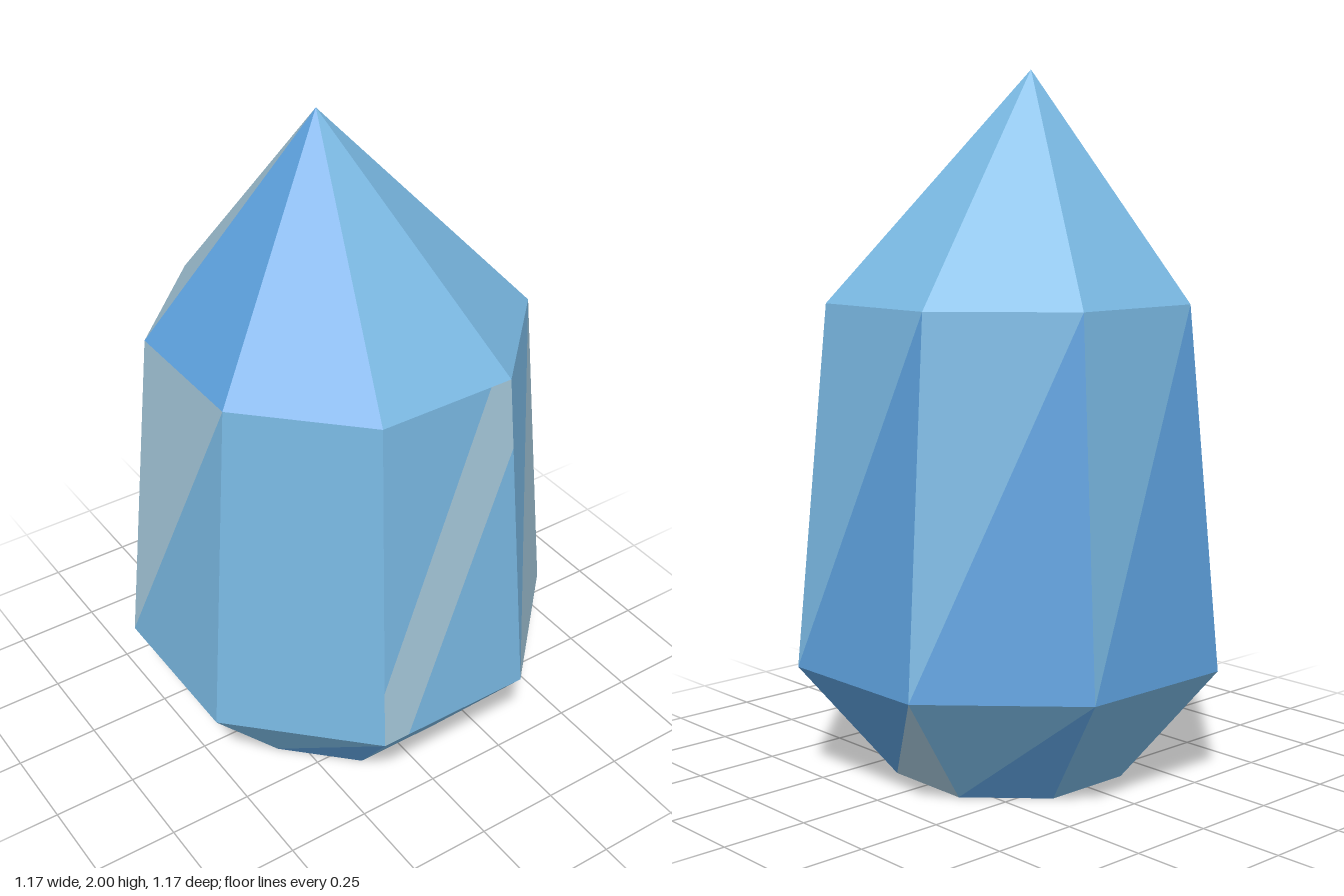
import * as THREE from 'three';

export function createModel() {
  const group = new THREE.Group();
  group.name = 'crystal';

  const colours = { A: ['skyBlue', 0x78b6e0], B: ['vividBlue', 0x5c9fdb], C: ['paleGlint', 0xa3c5d8] };
  const keys = Object.keys(colours);
  const materials = keys.map((k) => {
    const m = new THREE.MeshStandardMaterial({ color: colours[k][1] });
    m.name = colours[k][0];
    return m;
  });

  // Octagonal ring, counter-clockwise from above, starting at the front face
  const ring = (y, a, h) =>
    [[-h, a], [h, a], [a, h], [a, -h], [h, -a], [-h, -a], [-a, -h], [-a, h]]
      .map(([x, z]) => new THREE.Vector3(x, y, z));
  const foot = ring(0, 0.32, 0.135);
  const waist = ring(0.345, 0.585, 0.242);
  const shoulder = ring(1.36, 0.498, 0.205);
  const apex = new THREE.Vector3(-0.06, 2, -0.02);

  // Flat-faced mesh from [colour, corner, corner, corner...] convex facets
  function addFacets(name, facets) {
    const geometry = new THREE.BufferGeometry();
    const points = [];
    for (const [key, ...corners] of facets) {
      const start = points.length;
      for (let i = 1; i < corners.length - 1; i++) points.push(corners[0], corners[i], corners[i + 1]);
      geometry.addGroup(start, points.length - start, keys.indexOf(key));
    }
    geometry.setFromPoints(points);
    geometry.computeVertexNormals();
    const mesh = new THREE.Mesh(geometry, materials);
    mesh.name = name;
    group.add(mesh);
  }

  // Two triangles per side; each code gives the upper then the lower colour
  const band = (low, high, codes) => codes.flatMap((code, k) => {
    const n = (k + 1) % 8;
    return code === '' ? [] : [
      [code[0], low[k], high[n], high[k]],
      [code[1], low[k], low[n], high[n]],
    ];
  });

  // Tapered base
  addFacets('base', band(foot, waist, ['AA', 'CB', 'BC', 'AB', 'AA', 'CB', 'BC', 'AB']));
  addFacets('underside', [['B', ...[...foot].reverse()]]);

  // Main shaft, with a diagonal glint across the front facet
  const [bl, br, tl, tr] = [waist[0], waist[1], shoulder[0], shoulder[1]];
  const p = bl.clone().lerp(br, 0.17);
  const q = br.clone().lerp(tr, 0.79);
  const t = tl.clone().lerp(tr, 0.84);
  const l = bl.clone().lerp(tl, 0.18);
  addFacets('shaft', [
    ...band(waist, shoulder, ['', 'AC', 'AB', 'AB', 'AB', 'AC', 'CA', 'AA']),
    ['A', l, t, tl],
    ['A', p, br, q],
    ['C', bl, p, q, tr, t, l],
  ]);

  // Off-centre pointed tip
  addFacets('tip', [...'AAAAACBB'].map((key, k) => [key, shoulder[k], shoulder[(k + 1) % 8], apex]));

  return group;
}
